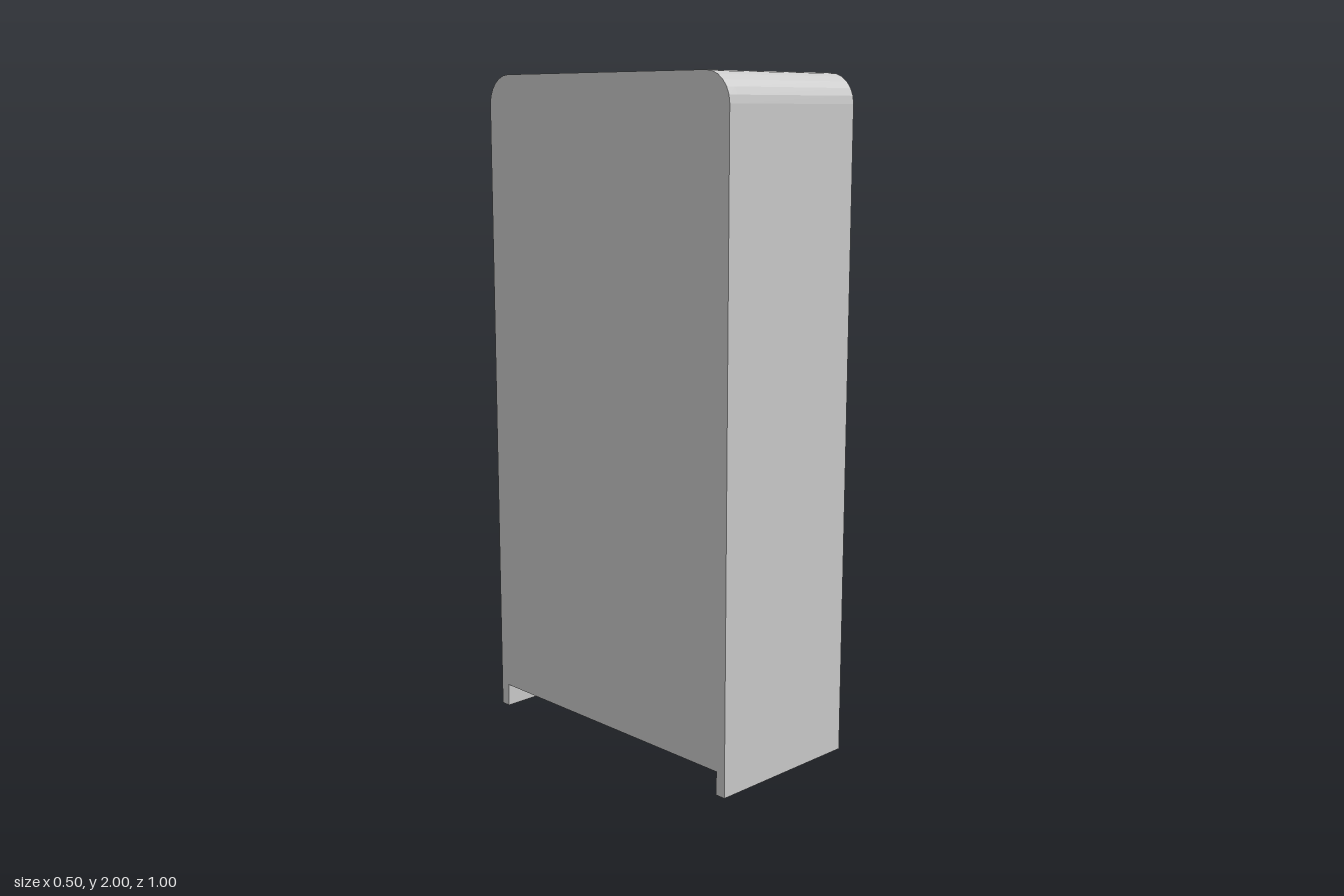
import * as THREE from 'three';

const mat = (color) => new THREE.MeshStandardMaterial({ color, flatShading: true });
const grey = mat(0xcccccc);
const shelfGreen = mat(0x72ce94);
const doorGreen = mat(0x23684a);
const black = mat(0x111111);

const HALF_X = 0.25, HALF_Z = 0.5, INNER_Z = 0.457, BACK = -0.22;

// Polygon path from [u, v] points
function poly(points, Type = THREE.Shape) {
  return new Type(points.map(([u, v]) => new THREE.Vector2(u, v)));
}
const rect = (u0, v0, u1, v1) => [[u0, v0], [u1, v0], [u1, v1], [u0, v1]];

// Shape drawn in (-z, y), extruded along x from x0 to x1
function alongX(name, shape, x0, x1, material) {
  const g = new THREE.ExtrudeGeometry(shape, { depth: x1 - x0, bevelEnabled: false, curveSegments: 3 });
  g.translate(0, 0, x0).rotateY(Math.PI / 2);
  const m = new THREE.Mesh(g, material);
  m.name = name;
  return m;
}

// Floor plan drawn in (x, -z), extruded upward from y0 to y1
function alongY(name, points, y0, y1, material) {
  const g = new THREE.ExtrudeGeometry(poly(points), { depth: y1 - y0, bevelEnabled: false });
  g.translate(0, 0, y0).rotateX(-Math.PI / 2);
  const m = new THREE.Mesh(g, material);
  m.name = name;
  return m;
}

// Cabinet outline with rounded top corners
function outline() {
  const r = 0.087, c = HALF_Z - r, top = 2 - r;
  const s = new THREE.Shape();
  s.moveTo(-HALF_Z, 0.07);
  s.lineTo(HALF_Z, 0.07);
  s.lineTo(HALF_Z, top);
  s.absarc(c, top, r, 0, Math.PI / 2, false);
  s.absarc(-c, top, r, Math.PI / 2, Math.PI, false);
  s.closePath();
  return s;
}

// Tall rectangle with cut corners, for the handle
function cutRect(u, v, w, h, c) {
  const a = w / 2, b = h / 2;
  return [[a, -b + c], [a, b - c], [a - c, b], [-a + c, b], [-a, b - c], [-a, -b + c], [-a + c, -b], [a - c, -b]]
    .map(([p, q]) => [u + p, v + q]);
}

export function createModel() {
  const model = new THREE.Group();
  model.name = 'cabinet';

  // Carcass with a shelf opening and a door opening, closed by a back panel
  const body = outline();
  body.holes.push(
    poly(rect(-INNER_Z, 0.555, INNER_Z, 1.95), THREE.Path),
    poly(rect(-INNER_Z, 0.105, INNER_Z, 0.51), THREE.Path)
  );
  model.add(alongX('carcass', body, BACK, HALF_X, grey));
  model.add(alongX('backPanel', outline(), -HALF_X, BACK, grey));

  // Shelves
  [0.81, 1.057, 1.272, 1.49, 1.722].forEach((y) => {
    const x1 = 0.245;
    const shelf = new THREE.Mesh(new THREE.BoxGeometry(x1 - BACK, 0.02, 2 * INNER_Z), shelfGreen);
    shelf.position.set((x1 + BACK) / 2, y, 0);
    shelf.name = 'shelf';
    model.add(shelf);
  });

  // Side runners that carry the cabinet, chamfered at the front
  for (const s of [-1, 1]) {
    model.add(alongY('sideRunner', [
      [-HALF_X, s * 0.5], [HALF_X, s * 0.5], [0.2, s * 0.468], [-HALF_X, s * 0.468],
    ], 0, 0.07, grey));
  }

  // Door front with narrow vertical grooves
  const face = 0.233, groove = 0.006;
  const plan = [[0.2, -INNER_Z], [face, -INNER_Z]];
  for (let i = 1; i < 10; i++) {
    const v = -INNER_Z + i * 0.094;
    plan.push([face, v - groove / 2], [face - groove, v], [face, v + groove / 2]);
  }
  plan.push([face, INNER_Z], [0.2, INNER_Z]);
  model.add(alongY('door', plan, 0.105, 0.51, doorGreen));

  // Recessed handle: rim and dark pocket
  const rim = poly(cutRect(-0.332, 0.308, 0.062, 0.168, 0.018));
  rim.holes.push(poly(cutRect(-0.332, 0.308, 0.05, 0.144, 0.015), THREE.Path));
  model.add(alongX('handleRim', rim, 0.225, 0.24, grey));
  model.add(alongX('handlePocket', poly(cutRect(-0.332, 0.308, 0.052, 0.146, 0.015)), 0.225, 0.235, black));

  return model;
}
